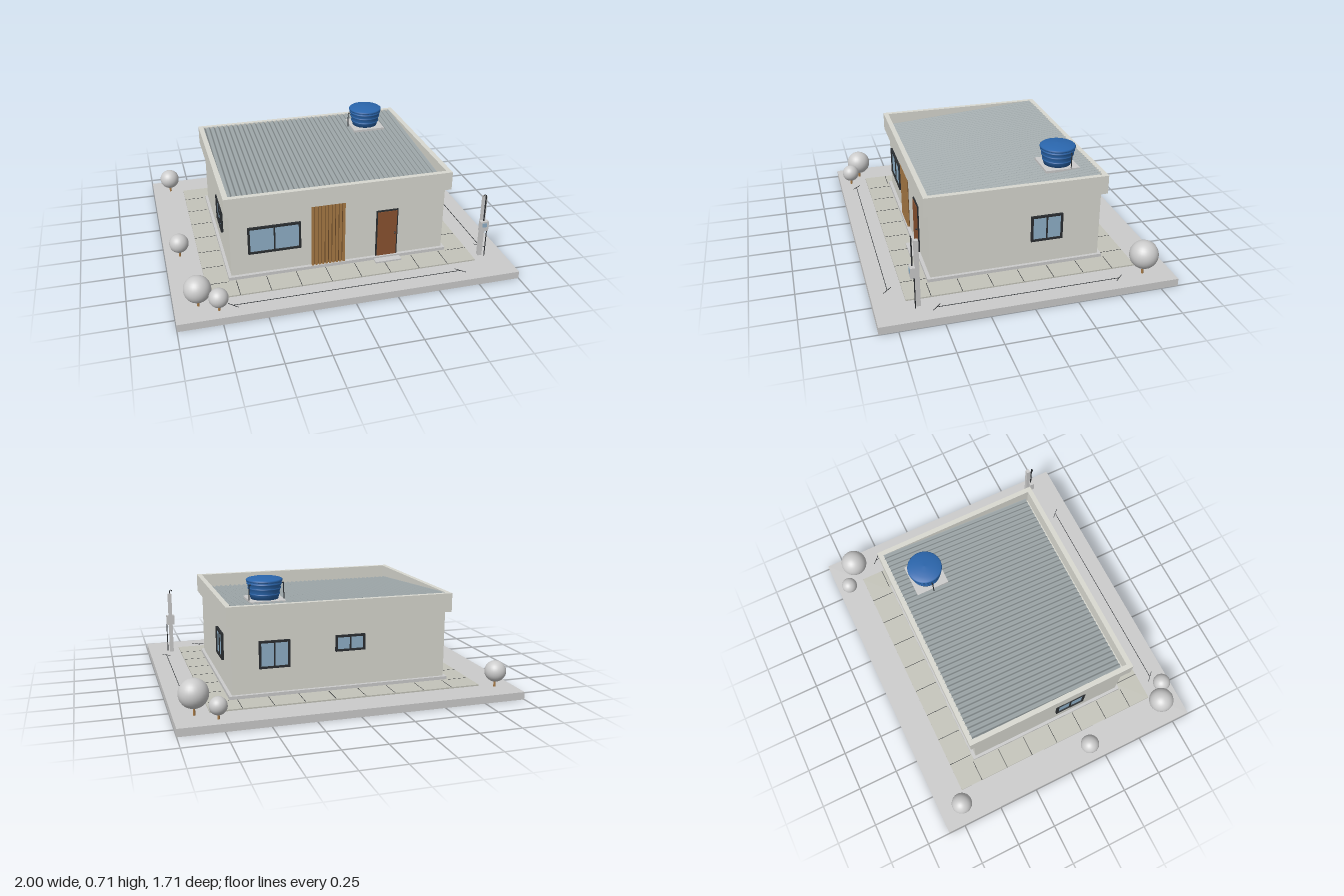
import * as THREE from 'three';

const mat = (color, opts = {}) => new THREE.MeshStandardMaterial({ color, ...opts });
const GREY = mat(0xcccccc);
const WALL = mat(0xd8d8d0);
const PAVING = mat(0xc4c4ba);
const ROOF = mat(0x9aa3a5, { side: THREE.DoubleSide });
const DARK = mat(0x2a2d30);
const GLASS = mat(0x8fb0c8);
const DOOR = mat(0x8a5230);
const SLAT = mat(0xa87a45);
const BLUE = mat(0x2a66ad);

const GROUND = 0.045;

function add(parent, name, geometry, material, x = 0, y = 0, z = 0) {
  const m = new THREE.Mesh(geometry, material);
  m.name = name;
  m.position.set(x, y, z);
  parent.add(m);
  return m;
}

// Box given by its min and max on each axis
function box(parent, name, material, x0, x1, y0, y1, z0, z1) {
  return add(parent, name, new THREE.BoxGeometry(x1 - x0, y1 - y0, z1 - z0), material,
    (x0 + x1) / 2, (y0 + y1) / 2, (z0 + z1) / 2);
}

function group(parent, name) {
  const g = new THREE.Group();
  g.name = name;
  parent.add(g);
  return g;
}

// Rectangular ring extruded along +z
function ringGeometry(w, h, border, depth) {
  const rect = (P, a, b) => new P().moveTo(-a, -b).lineTo(a, -b).lineTo(a, b).lineTo(-a, b).closePath();
  const shape = rect(THREE.Shape, w / 2, h / 2);
  shape.holes.push(rect(THREE.Path, w / 2 - border, h / 2 - border));
  return new THREE.ExtrudeGeometry(shape, { depth, bevelEnabled: false });
}

function tube(parent, name, material, points, radius) {
  const path = new THREE.CurvePath();
  for (let i = 1; i < points.length; i++) {
    path.add(new THREE.LineCurve3(new THREE.Vector3(...points[i - 1]), new THREE.Vector3(...points[i])));
  }
  return add(parent, name, new THREE.TubeGeometry(path, points.length * 12, radius, 8), material);
}

// Two-pane sliding window facing local +z
function addWindow(parent, name, w, h, x, y, z, turn) {
  const g = group(parent, name);
  add(g, 'frame', ringGeometry(w, h, 0.012, 0.014), DARK);
  box(g, 'mullion', DARK, -0.004, 0.004, -h / 2, h / 2, 0, 0.012);
  box(g, 'glass', GLASS, -w / 2 + 0.01, w / 2 - 0.01, -h / 2 + 0.01, h / 2 - 0.01, 0, 0.006);
  g.position.set(x, y, z);
  g.rotation.y = turn;
}

function addTree(parent, x, y, z, r) {
  const g = group(parent, 'tree');
  add(g, 'crown', new THREE.SphereGeometry(r, 28, 18), GREY, x, y, z);
  const h = y - GROUND;
  add(g, 'trunk', new THREE.CylinderGeometry(0.005, 0.007, h, 10), SLAT, x, GROUND + h / 2, z);
}

function addWalkway(parent) {
  const g = group(parent, 'walkway');
  const top = 0.053;
  box(g, 'paving', PAVING, -0.8, 0.8, GROUND, top, -0.675, 0.675);
  // Joints between slabs
  for (let i = 0; i < 8; i++) {
    const x = -0.625 + i * 0.178;
    for (const s of [-1, 1]) {
      box(g, 'joint', DARK, x - 0.0015, x + 0.0015, top - 0.001, top + 0.0005, s < 0 ? -0.675 : 0.53, s < 0 ? -0.53 : 0.675);
    }
  }
  for (let i = 0; i < 7; i++) {
    const z = -0.534 + i * 0.178;
    for (const s of [-1, 1]) {
      box(g, 'joint', DARK, s < 0 ? -0.8 : 0.67, s < 0 ? -0.67 : 0.8, top - 0.001, top + 0.0005, z - 0.0015, z + 0.0015);
    }
  }
}

function addRoof(parent) {
  const g = group(parent, 'roof');
  // Parapet band
  const parapet = add(g, 'parapet', ringGeometry(1.35, 1.07, 0.03, 0.112), WALL, 0, 0.473, 0);
  parapet.rotation.x = -Math.PI / 2;
  // Corrugated sheet, falling towards the front
  const ridges = 42;
  const sheet = new THREE.PlaneGeometry(1.288, 1.0, ridges * 8, 1);
  sheet.rotateX(-Math.PI / 2);
  const p = sheet.attributes.position;
  for (let i = 0; i < p.count; i++) {
    const u = (p.getX(i) + 0.644) / 1.288;
    p.setY(i, -0.075 * p.getZ(i) + 0.006 * Math.cos(u * ridges * Math.PI * 2));
  }
  sheet.computeVertexNormals();
  add(g, 'corrugatedSheet', sheet, ROOF, 0, 0.543, -0.01);
}

function addTank(parent) {
  const g = group(parent, 'waterTank');
  g.position.set(0.41, 0, -0.32);
  box(g, 'platform', GREY, -0.103, 0.103, 0.566, 0.58, -0.103, 0.103);
  // Tapered body with ribs
  const rAt = (y) => 0.08 + (y - 0.58) * 0.2;
  const body = [[0, 0.58], [0.08, 0.58]];
  for (const y of [0.61, 0.642, 0.67]) {
    body.push([rAt(y), y - 0.004], [rAt(y) + 0.004, y - 0.003], [rAt(y) + 0.004, y + 0.003], [rAt(y), y + 0.004]);
  }
  body.push([0.1, 0.684]);
  const lathe = (pts) => new THREE.LatheGeometry(pts.map(([x, y]) => new THREE.Vector2(x, y)), 40);
  add(g, 'body', lathe(body), BLUE);
  add(g, 'lid', lathe([[0.098, 0.68], [0.105, 0.682], [0.105, 0.691], [0.1, 0.695], [0.07, 0.702], [0.035, 0.706], [0, 0.708]]), BLUE);
  tube(g, 'inletPipe', DARK, [[-0.115, 0.57, 0], [-0.115, 0.665, 0], [-0.09, 0.665, 0]], 0.003);
  tube(g, 'overflowPipe', DARK, [[0.085, 0.67, -0.05], [0.1, 0.67, -0.05], [0.1, 0.57, -0.05]], 0.003);
}

function addMeterPost(parent) {
  const g = group(parent, 'meterPost');
  box(g, 'post', GREY, 0.842, 0.866, GROUND, 0.447, 0.604, 0.628);
  box(g, 'meterBox', GREY, 0.826, 0.878, 0.228, 0.292, 0.628, 0.655);
  box(g, 'meterWindow', GLASS, 0.838, 0.866, 0.256, 0.282, 0.655, 0.657);
  tube(g, 'riserPipe', DARK, [[0.85, 0.29, 0.64], [0.85, 0.46, 0.64]], 0.004);
  const hook = add(g, 'pipeHook', new THREE.TorusGeometry(0.008, 0.003, 8, 16, Math.PI), DARK, 0.842, 0.458, 0.64);
  hook.rotation.z = 0;
  tube(g, 'groundPipe', DARK, [[0.878, GROUND, 0.636], [0.878, 0.235, 0.636]], 0.003);
}

// Thin measuring line with slanted end ticks
function addGuideLine(parent, length, x, z, turn) {
  const g = group(parent, 'guideLine');
  box(g, 'line', DARK, -length / 2, length / 2, 0, 0.002, -0.0015, 0.0015);
  for (const s of [-1, 1]) {
    const tick = add(g, 'tick', new THREE.BoxGeometry(0.07, 0.002, 0.003), DARK, s * length / 2, 0.001, 0);
    tick.rotation.y = turn ? Math.PI / 4 : -Math.PI / 4;
  }
  g.position.set(x, GROUND, z);
  g.rotation.y = turn;
}

export function createModel() {
  const model = new THREE.Group();
  model.name = 'house';

  box(model, 'groundSlab', GREY, -1, 1, 0, GROUND, -0.855, 0.855);
  addWalkway(model);

  // House body
  box(model, 'plinth', GREY, -0.665, 0.665, 0.053, 0.072, -0.525, 0.525);
  box(model, 'walls', WALL, -0.647, 0.647, 0.072, 0.475, -0.505, 0.505);
  box(model, 'doorStep', GREY, 0.21, 0.37, 0.053, 0.062, 0.525, 0.567);
  addRoof(model);
  addTank(model);

  // Windows on all four sides
  addWindow(model, 'frontWindow', 0.31, 0.17, -0.39, 0.29, 0.505, 0);
  addWindow(model, 'leftWindow', 0.19, 0.16, 0.647, 0.295, -0.18, Math.PI / 2);
  addWindow(model, 'rightWindow', 0.19, 0.16, -0.647, 0.295, 0.15, -Math.PI / 2);
  addWindow(model, 'backWindow', 0.18, 0.16, 0.4, 0.295, -0.505, Math.PI);
  addWindow(model, 'smallBackWindow', 0.18, 0.095, -0.05, 0.328, -0.505, Math.PI);

  // Front door
  const door = group(model, 'frontDoor');
  box(door, 'frame', DARK, 0.223, 0.357, 0.072, 0.376, 0.504, 0.513);
  box(door, 'leaf', DOOR, 0.231, 0.349, 0.074, 0.368, 0.505, 0.517);
  add(door, 'handle', new THREE.SphereGeometry(0.006, 12, 8), DARK, 0.338, 0.22, 0.519);

  // Wooden slat panel
  const panel = group(model, 'slatPanel');
  box(panel, 'backing', mat(0x6b4a28), -0.17, 0.03, 0.072, 0.47, 0.504, 0.509);
  for (let i = 0; i < 10; i++) {
    const x = -0.17 + i * 0.0207;
    box(panel, 'slat', SLAT, x, x + 0.0135, 0.072, 0.47, 0.505, 0.519);
  }

  // Garden: x, crown height, z, radius
  for (const t of [
    [-0.885, 0.14, -0.71, 0.063], [-0.91, 0.135, 0.17, 0.058],
    [-0.865, 0.156, 0.71, 0.077], [-0.76, 0.127, 0.78, 0.055],
    [0.77, 0.118, -0.775, 0.05], [0.885, 0.168, -0.685, 0.083],
  ]) addTree(model, ...t);

  addMeterPost(model);
  addGuideLine(model, 1.35, -0.005, 0.755, 0);
  addGuideLine(model, 1.06, 0.9, -0.005, Math.PI / 2);
  return model;
}
